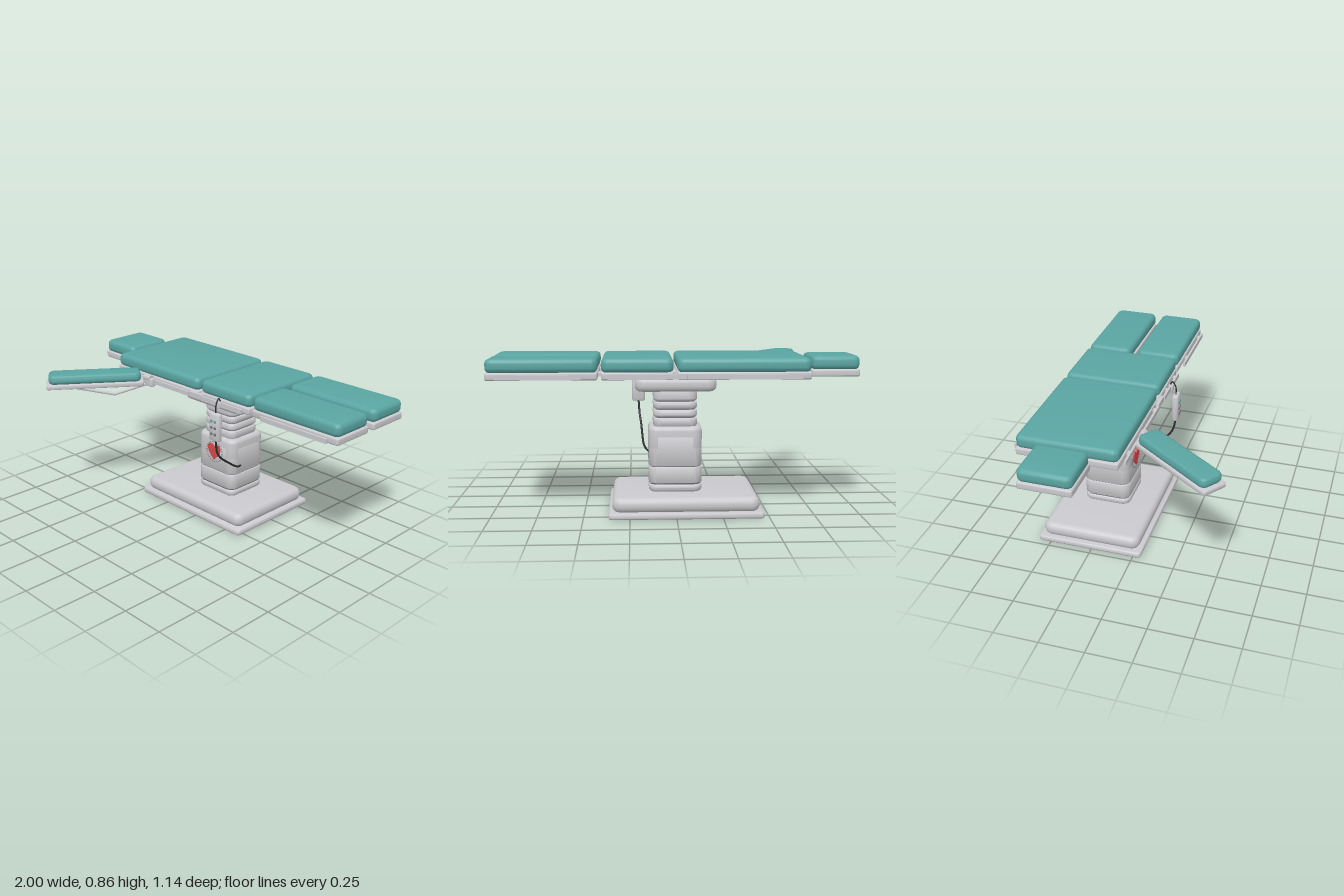
import * as THREE from 'three';
import { toCreasedNormals } from 'three/addons/utils/BufferGeometryUtils.js';

const paint = (name, color) => {
  const m = new THREE.MeshStandardMaterial({ color });
  m.name = name;
  return m;
};

export function createModel() {
  const teal = paint('teal upholstery', 0x5aa5a2);
  const grey = paint('pale grey metal', 0xcacace);
  const dark = paint('dark rubber', 0x2c2f31);
  const groove = paint('groove grey', 0x77787c);
  const red = paint('red', 0xd9484c);

  const model = new THREE.Group();
  model.name = 'operatingTable';

  const add = (name, geo, mat, parent = model) => {
    const mesh = new THREE.Mesh(geo, mat);
    mesh.name = name;
    parent.add(mesh);
    return mesh;
  };

  // Slab between two corners: r rounds the plan corners, b rounds the top and bottom edges
  const slab = (name, mat, [x0, x1], [y0, y1], [z0, z1], r, b, parent = model) => {
    const hw = (x1 - x0) / 2 - b, hd = (z1 - z0) / 2 - b, c = Math.max(r - b, 0.002);
    const s = new THREE.Shape();
    s.absarc(hw - c, hd - c, c, 0, Math.PI / 2);
    s.absarc(-hw + c, hd - c, c, Math.PI / 2, Math.PI);
    s.absarc(-hw + c, -hd + c, c, Math.PI, Math.PI * 1.5);
    s.absarc(hw - c, -hd + c, c, Math.PI * 1.5, Math.PI * 2);
    const g = new THREE.ExtrudeGeometry(s, {
      depth: y1 - y0 - 2 * b, bevelSize: b, bevelThickness: b, bevelSegments: 4, curveSegments: 7,
    });
    g.rotateX(-Math.PI / 2);
    g.translate((x0 + x1) / 2, y0 + b, (z0 + z1) / 2);
    return add(name, toCreasedNormals(g, 0.6), mat, parent);
  };

  const box = (name, mat, [x0, x1], [y0, y1], [z0, z1], parent = model) =>
    add(name, new THREE.BoxGeometry(x1 - x0, y1 - y0, z1 - z0)
      .translate((x0 + x1) / 2, (y0 + y1) / 2, (z0 + z1) / 2), mat, parent);

  const tube = (name, mat, pts, r, parent = model) =>
    add(name, new THREE.TubeGeometry(
      new THREE.CatmullRomCurve3(pts.map(p => new THREE.Vector3(...p))), 40, r, 8), mat, parent);

  // Base
  slab('baseFoot', grey, [-0.47, 0.365], [0, 0.034], [-0.573, 0.046], 0.02, 0.012);
  slab('baseCover', grey, [-0.45, 0.345], [0.03, 0.111], [-0.552, 0.026], 0.05, 0.034);

  // Column with two shadow grooves
  slab('columnCore', groove, [-0.138, 0.138], [0.13, 0.4], [-0.395, -0.132], 0.045, 0.004);
  [[0.11, 0.156, 0.02], [0.16, 0.25, 0.004], [0.255, 0.42, 0.004], [0.33, 0.472, 0.024]]
    .forEach(([y0, y1, b], i) =>
      slab('columnCover' + (i + 1), grey, [-0.146, 0.146], [y0, y1], [-0.403, -0.125], 0.05, b));

  // Telescopic bellows
  slab('bellowsCore', groove, [-0.108, 0.108], [0.46, 0.675], [-0.366, -0.16], 0.04, 0.004);
  [[0.468, 0.517], [0.522, 0.562], [0.567, 0.606], [0.611, 0.675]].forEach(([y0, y1], i) =>
    slab('bellowsRing' + (i + 1), grey, [-0.12, 0.12], [y0, y1], [-0.377, -0.149], 0.045, 0.012));
  slab('tableHead', grey, [-0.22, 0.22], [0.669, 0.747], [-0.453, -0.075], 0.05, 0.03);

  // Table sections: plate with cushion on top
  const sections = [
    ['head', [-1, -0.735], [-0.417, -0.124]],
    ['back', [-0.712, -0.004], [-0.548, 0.014]],
    ['seat', [0.016, 0.396], [-0.548, 0.014]],
    ['rightLeg', [0.415, 1], [-0.548, -0.289]],
    ['leftLeg', [0.415, 1], [-0.245, 0.014]],
  ];
  for (const [name, x, z] of sections) {
    slab(name + 'Plate', grey, x, [0.745, 0.785], z, 0.012, 0.008);
    slab(name + 'Cushion', teal, x, [0.783, 0.857], z, 0.035, 0.025);
  }

  // Links between the sections
  box('neckLink', grey, [-0.76, -0.69], [0.755, 0.775], [-0.345, -0.195]);
  box('seatLink', grey, [-0.03, 0.04], [0.752, 0.776], [-0.46, -0.08]);
  for (const z of [-0.4, -0.13]) box('legLink', grey, [0.38, 0.43], [0.755, 0.775], [z - 0.05, z + 0.05]);

  // Side rails on spacers, mirrored about the table's centre line
  const mid = -0.267;
  for (const side of [-1, 1]) {
    const span = (a, b) => [mid + side * a, mid + side * b].sort((p, q) => p - q);
    for (const [a, b] of [[-0.66, -0.055], [0.055, 0.36], [0.5, 0.945]]) {
      box('sideRail', grey, [a, b], [0.75, 0.776], span(0.294, 0.306));
      for (const x of [a + 0.1, b - 0.04])
        box('railSpacer', grey, [x - 0.015, x + 0.015], [0.756, 0.77], span(0.275, 0.296));
    }
    box('hinge', grey, [-0.055, 0.055], [0.75, 0.778], span(0.275, 0.3));
  }

  // Arm board, swung outward from the rail
  const arm = new THREE.Group();
  arm.name = 'armBoard';
  arm.position.set(-0.587, 0, 0.295);
  arm.rotation.y = Math.atan2(-0.804, -0.594);
  model.add(arm);
  slab('armPlate', grey, [-0.286, 0.286], [0.75, 0.778], [-0.073, 0.073], 0.015, 0.006, arm);
  slab('armCushion', teal, [-0.27, 0.272], [0.776, 0.831], [-0.068, 0.068], 0.035, 0.02, arm);
  const strut = [[0.168, 0.748], [-0.112, 0.686], [-0.3, 0.74]];
  for (let i = 0; i < 2; i++) {
    const [a, b] = [strut[i], strut[i + 1]];
    const bar = add('armStrut', new THREE.CapsuleGeometry(0.01, Math.hypot(b[0] - a[0], b[1] - a[1]), 4, 10), grey, arm);
    bar.position.set((a[0] + b[0]) / 2, (a[1] + b[1]) / 2, 0);
    bar.rotation.z = Math.atan2(b[1] - a[1], b[0] - a[0]) - Math.PI / 2;
  }
  slab('armClamp', grey, [-0.42, -0.345], [0.735, 0.785], [0.028, 0.062], 0.01, 0.006);
  const knob = add('clampKnob', new THREE.CylinderGeometry(0.019, 0.019, 0.05, 16), grey);
  knob.rotation.z = Math.PI / 2;
  knob.position.set(-0.39, 0.783, 0.046);

  // Hand control hanging from the rail
  slab('handControl', grey, [0.16, 0.236], [0.557, 0.722], [0.05, 0.086], 0.014, 0.01);
  slab('controlHook', grey, [0.182, 0.21], [0.742, 0.782], [0.022, 0.05], 0.006, 0.004);
  tube('hookWire', dark, [[0.197, 0.72, 0.066], [0.197, 0.77, 0.064], [0.197, 0.8, 0.045], [0.197, 0.775, 0.028]], 0.004);
  for (const y of [0.6, 0.638, 0.676]) {
    for (const x of [0.184, 0.212]) {
      const button = add('controlButton', new THREE.CylinderGeometry(0.008, 0.008, 0.006, 12),
        y > 0.66 ? teal : groove);
      button.rotation.x = Math.PI / 2;
      button.position.set(x, y, 0.088);
    }
  }
  tube('controlCable', dark, [
    [0.198, 0.56, 0.066], [0.192, 0.48, 0.05], [0.184, 0.43, 0.012], [0.178, 0.375, -0.06],
    [0.17, 0.328, -0.13], [0.155, 0.309, -0.175], [0.14, 0.302, -0.205]], 0.006);

  // Heart ornament inside a ring of dots
  const h = new THREE.Shape();
  h.moveTo(0, -0.052);
  h.bezierCurveTo(0.02, -0.03, 0.048, -0.012, 0.048, 0.02);
  h.bezierCurveTo(0.048, 0.055, 0.008, 0.055, 0, 0.026);
  h.bezierCurveTo(-0.008, 0.055, -0.048, 0.055, -0.048, 0.02);
  h.bezierCurveTo(-0.048, -0.012, -0.02, -0.03, 0, -0.052);
  add('heart', new THREE.ExtrudeGeometry(h, { depth: 0.009, bevelEnabled: false, curveSegments: 10 }), red)
    .position.set(0, 0.373, -0.126);
  for (let i = 0; i < 24; i++) {
    const a = (i / 24) * Math.PI * 2;
    const dot = add('ringDot', new THREE.BoxGeometry(0.009, 0.004, 0.005), groove);
    dot.position.set(0.064 * Math.cos(a), 0.371 + 0.064 * Math.sin(a), -0.124);
    dot.rotation.z = a + Math.PI / 2;
  }

  return model;
}
